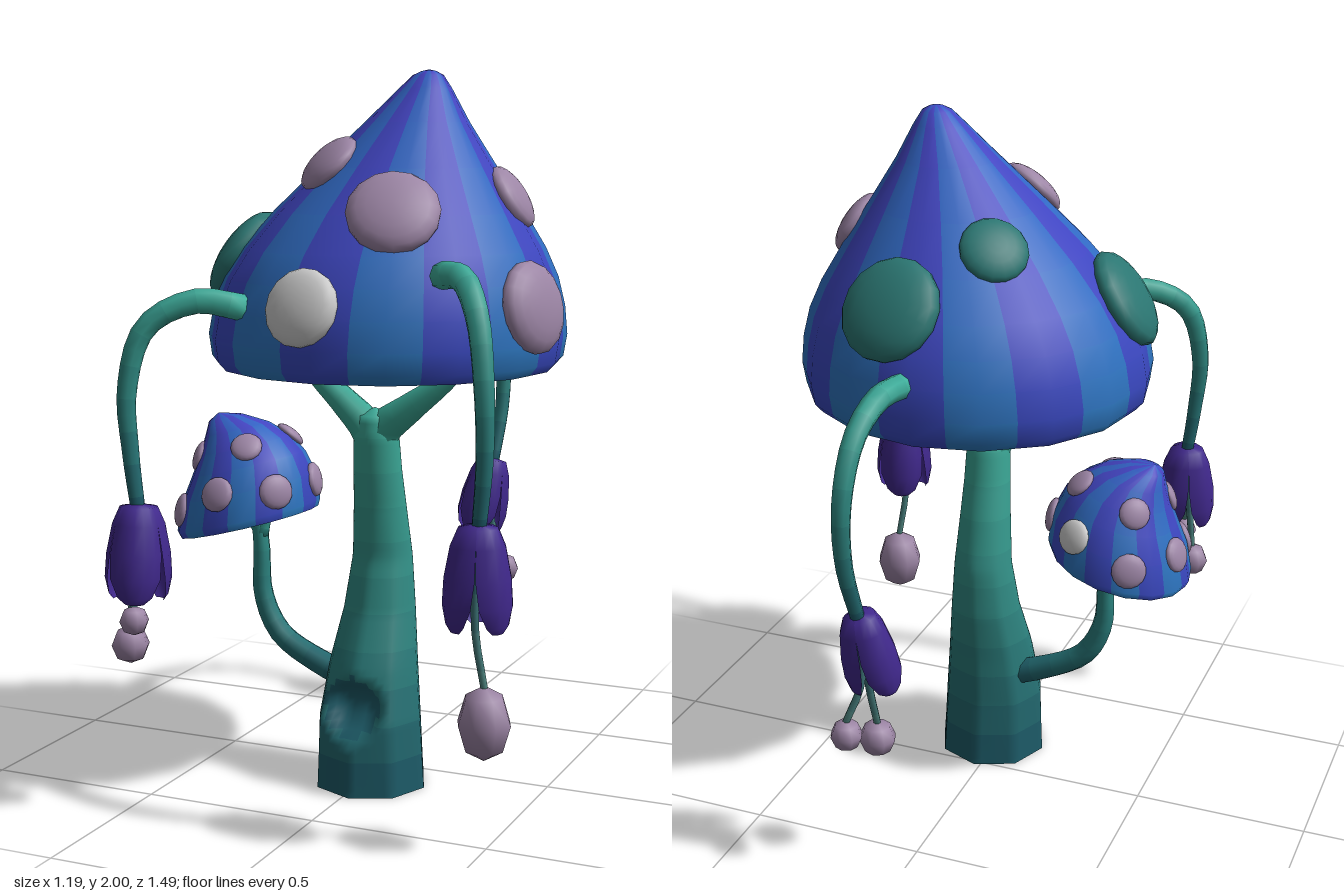
import * as THREE from 'three';

const V = (x, y, z) => new THREE.Vector3(x, y, z);
const mat = (color) => new THREE.MeshStandardMaterial({ color, side: THREE.DoubleSide });
const mix = (a, b, t) => new THREE.Color(a).lerp(new THREE.Color(b), t).getHex();
const PINK = 0x9d86a6, WHITE = 0xbdbdbd, GREEN = 0x2b7672, DARK = 0x1d5b68, LIGHT = 0x3fb09c;

function add(parent, name, geometry, color) {
  const mesh = new THREE.Mesh(geometry, mat(color));
  mesh.name = name;
  parent.add(mesh);
  return mesh;
}

// Closed skin over rows of points, smooth normals, split into one mesh per colour
function skin(parent, name, rows, colour) {
  const n = rows[0].length, faces = new Map(), all = [];
  for (let i = 0; i < rows.length - 1; i++) {
    for (let j = 0; j < n; j++) {
      const a = i * n + j, b = i * n + (j + 1) % n, c = a + n, d = b + n;
      const key = colour(i, j);
      if (!faces.has(key)) faces.set(key, []);
      faces.get(key).push(a, c, b, b, c, d);
      all.push(a, c, b, b, c, d);
    }
  }
  const whole = new THREE.BufferGeometry().setFromPoints(rows.flat());
  whole.setIndex(all);
  whole.computeVertexNormals();
  const group = new THREE.Group();
  group.name = name;
  for (const [color, index] of faces) {
    const part = whole.clone();
    part.setIndex(index);
    add(group, name + 'Section', part.toNonIndexed(), color);
  }
  parent.add(group);
}

// Tapered tube whose colour runs from c0 to c1
function taper(parent, name, points, r0, r1, c0, c1, steps = 18) {
  const curve = new THREE.CatmullRomCurve3(points);
  const { normals, binormals } = curve.computeFrenetFrames(steps);
  const rows = [];
  for (let i = 0; i <= steps; i++) {
    const p = curve.getPointAt(i / steps), r = r0 + (r1 - r0) * i / steps, row = [];
    for (let j = 0; j < 8; j++) {
      const a = j * Math.PI / 4;
      row.push(p.clone().addScaledVector(normals[i], r * Math.cos(a))
        .addScaledVector(binormals[i], -r * Math.sin(a)));
    }
    rows.push(row);
  }
  rows.unshift(rows[0].map(() => points[0].clone()));
  rows.push(rows[0].map(() => points[points.length - 1].clone()));
  skin(parent, name, rows, (i) => mix(c0, c1, Math.floor(i / 2) * 2 / steps));
}

// Point at height y and angle a on a stack of rings [y, radius, centreX, centreZ]
function ringPoint(rings, y, a, scale = 1) {
  let k = 0;
  while (k < rings.length - 2 && y > rings[k + 1][0]) k++;
  const [p, q] = [rings[k], rings[k + 1]];
  const t = (y - p[0]) / (q[0] - p[0]);
  const [r, cx, cz] = [1, 2, 3].map((m) => p[m] + (q[m] - p[m]) * t);
  return V(cx + r * scale * Math.cos(a), y, cz + r * scale * Math.sin(a));
}

// Striped hollow cap with sixteen sides, each split in the middle for the stripes
function cap(parent, name, rings) {
  const rows = rings.map(([y]) => Array.from({ length: 32 },
    (_, j) => ringPoint(rings, y, j * Math.PI / 16, j % 2 ? Math.cos(Math.PI / 16) : 1)));
  skin(parent, name, rows, (i, j) => {
    const t = i / (rings.length - 1);
    return j % 4 === 1 || j % 4 === 2 ? mix(0x2c78bd, 0x3557c8, t) : mix(0x3648bd, 0x4842c4, t);
  });
}

// Raised round spot lying on a cap, open underneath, its rim sunk through the skin
function spot(parent, rings, y, a, r, color) {
  const p = ringPoint(rings, y, a, 0.985), e = 0.03;
  const up = ringPoint(rings, y + e, a).sub(ringPoint(rings, y - e, a));
  const side = ringPoint(rings, y, a + e).sub(ringPoint(rings, y, a - e));
  const s = add(parent, 'spot', new THREE.SphereGeometry(1, 16, 7, 0, Math.PI * 2, 0, Math.PI * 0.65), color);
  s.position.copy(p);
  s.scale.set(r, r * 0.4, r);
  s.quaternion.setFromUnitVectors(V(0, 1, 0), up.cross(side).normalize());
}

// Hanging bell of three broad petals, top at the origin
function bell(parent, pos, { length, width, tilt, turn }) {
  const group = new THREE.Group();
  group.name = 'flower';
  const profile = [[0, 0.008, 1], [0.03, 0.05, 1], [0.2, 0.069, 1], [0.5, 0.084, 0.98],
    [0.75, 0.088, 0.88], [0.93, 0.08, 0.62], [1, 0.07, 0.35]];
  for (let k = 0; k < 3; k++) {
    const g = new THREE.PlaneGeometry(2, 1, 6, profile.length - 1), at = g.attributes.position;
    for (let i = 0; i < at.count; i++) {
      const u = at.getX(i), [t, r, w] = profile[Math.floor(i / 7)];
      const a = u * w * Math.PI / 3, rr = r * width * (1.04 - 0.1 * u * u);
      at.setXYZ(i, rr * Math.sin(a), -t * length, rr * Math.cos(a));
    }
    g.computeVertexNormals();
    add(group, 'petal', g, 0x40288c).rotation.y = turn + k * Math.PI * 2 / 3;
  }
  group.position.copy(pos);
  group.rotation.set(tilt[0], 0, tilt[1]);
  parent.add(group);
}

export function createModel() {
  const model = new THREE.Group();
  model.name = 'mushroom';

  // Open trunk, eight-sided at the foot, with a round hollow pressed into its front
  const trunk = [[0, 0.163, 0.018, 0.146], [0.2, 0.152, 0.016, 0.147], [0.35, 0.131, 0.018, 0.126],
    [0.5, 0.105, 0.022, 0.092], [0.65, 0.086, 0.025, 0.078], [0.8, 0.074, 0.026, 0.1],
    [0.9, 0.068, 0.028, 0.12], [1, 0.064, 0.03, 0.135], [1.06, 0.05, 0.03, 0.142], [1.08, 0.002, 0.03, 0.144]];
  const hollow = (p) => Math.hypot(p.x - 0.012, p.y - 0.237) / 0.088;
  const rows = [];
  for (let i = 0; i <= 54; i++) {
    const y = 1.08 * i / 54;
    rows.push(Array.from({ length: 48 }, (_, j) => {
      const flat = Math.cos(Math.PI / 8) / Math.cos((j % 6 - 3) * Math.PI / 24);
      const p = ringPoint(trunk, y, j * Math.PI / 24, 1 + (flat - 1) * Math.max(0, 1 - y / 0.8));
      if (p.z > 0.14 && hollow(p) < 1) p.z -= 0.07 * (1 - hollow(p) ** 2.5);
      return p;
    }));
  }
  skin(model, 'trunk', rows, (i, j) => {
    const p = rows[i][j];
    return p.z > 0.14 && hollow(p) < 0.95 ? DARK : mix(DARK, LIGHT, Math.floor(i / 5) / 11);
  });

  // Forked arms under the cap
  taper(model, 'forkRight', [V(0.029, 0.92, 0.123), V(0.012, 1.01, 0.138), V(-0.06, 1.09, 0.147),
    V(-0.16, 1.18, 0.15), V(-0.22, 1.26, 0.15)], 0.063, 0.018, 0x38a492, LIGHT, 14);
  taper(model, 'forkLeft', [V(0.029, 0.92, 0.123), V(0.046, 1.01, 0.138), V(0.13, 1.08, 0.147),
    V(0.25, 1.17, 0.15), V(0.34, 1.26, 0.15)], 0.063, 0.012, 0x38a492, LIGHT, 14);

  // Large cap and its spots
  const big = [[1.195, 0.468, 0.04, 0.08], [1.22, 0.49, 0.04, 0.08], [1.28, 0.499, 0.041, 0.08],
    [1.36, 0.488, 0.045, 0.08], [1.44, 0.463, 0.051, 0.08], [1.52, 0.419, 0.06, 0.08],
    [1.62, 0.345, 0.075, 0.08], [1.74, 0.245, 0.1, 0.08], [1.86, 0.143, 0.128, 0.08],
    [1.95, 0.072, 0.152, 0.08], [1.985, 0.042, 0.16, 0.08], [1.996, 0.02, 0.162, 0.08], [2, 0.001, 0.163, 0.08]];
  cap(model, 'largeCap', big);
  const spots = [[-0.1, 1.75, 0.25, 0.095, PINK], [0.18, 1.63, 0.41, 0.125, PINK], [0.015, 1.39, 0.55, 0.105, WHITE],
    [-0.35, 1.49, 0.15, 0.145, GREEN], [-0.1, 1.68, -0.12, 0.095, GREEN], [0.13, 1.54, -0.31, 0.145, GREEN],
    [0.4, 1.66, 0.03, 0.095, PINK], [0.53, 1.38, 0.2, 0.125, PINK]];
  for (const [x, y, z, r, c] of spots) spot(model, big, y, Math.atan2(z - 0.08, x - 0.06), r, c);

  // Small leaning mushroom on a side stalk
  taper(model, 'sideStalk', [V(-0.03, 0.27, 0.1), V(-0.16, 0.315, 0.1), V(-0.29, 0.39, 0.1), V(-0.345, 0.5, 0.1),
    V(-0.35, 0.64, 0.1), V(-0.36, 0.74, 0.1)], 0.042, 0.022, DARK, 0x2f8d86);
  for (const s of [-1, 1]) {
    taper(model, 'sideFork', [V(-0.35, 0.68, 0.1), V(-0.36 + s * 0.03, 0.74, 0.1), V(-0.37 + s * 0.08, 0.8, 0.1)],
      0.022, 0.008, 0x2f8d86, LIGHT, 6);
  }
  const small = new THREE.Group();
  small.name = 'smallMushroomTop';
  small.position.set(-0.387, 0.715, 0.105);
  small.rotation.z = 0.25;
  model.add(small);
  const little = [[0, 0.206, 0, 0], [0.02, 0.214, 0.003, 0], [0.1, 0.2, 0.026, 0], [0.166, 0.169, 0.042, 0],
    [0.22, 0.136, 0.045, 0], [0.27, 0.096, 0.032, 0], [0.31, 0.05, 0.003, 0], [0.328, 0.001, -0.015, 0]];
  cap(small, 'smallCap', little);
  for (let k = 0; k < 7; k++) {
    spot(small, little, k % 2 ? 0.11 : 0.08, 0.68 + k * Math.PI * 2 / 7, 0.05, k === 5 ? WHITE : PINK);
  }
  for (let k = 0; k < 4; k++) spot(small, little, 0.22, 1.05 + k * Math.PI / 2, 0.045, PINK);

  // Hanging vines, each with a bell flower and berries [x, y, z, radius, height stretch]
  const vines = [
    { path: [V(-0.2, 1.375, 0.47), V(-0.31, 1.395, 0.54), V(-0.42, 1.33, 0.61), V(-0.46, 1.17, 0.645),
      V(-0.45, 1, 0.65), V(-0.43, 0.84, 0.65)], flower: { length: 0.26, width: 1, tilt: [-0.05, 0], turn: 0.4 },
    berries: [[-0.46, 0.48, 0.655, 0.052, 1], [-0.42, 0.56, 0.7, 0.04, 1]] },
    { path: [V(0.34, 1.475, 0.43), V(0.42, 1.475, 0.49), V(0.48, 1.39, 0.545), V(0.515, 1.22, 0.585),
      V(0.52, 1.04, 0.59), V(0.5, 0.85, 0.575)], flower: { length: 0.27, width: 1, tilt: [0, 0], turn: -Math.PI / 4 },
    berries: [[0.51, 0.355, 0.55, 0.072, 1.38]] },
    { path: [V(0.07, 1.36, -0.37), V(0.08, 1.37, -0.52), V(0.09, 1.31, -0.64), V(0.095, 1.17, -0.712),
      V(0.1, 0.99, -0.705), V(0.09, 0.79, -0.645)], flower: { length: 0.235, width: 0.88, tilt: [-0.16, -0.15], turn: 0.1 },
    berries: [[0.08, 0.4, -0.57, 0.052, 1], [0.125, 0.455, -0.67, 0.045, 1]] },
  ];
  for (const { path, flower, berries } of vines) {
    taper(model, 'vine', path, 0.036, 0.019, LIGHT, DARK);
    const top = path[path.length - 1];
    bell(model, top.clone().add(V(0, 0.025, 0)), flower);
    for (const [x, y, z, r, stretch] of berries) {
      const tip = V(x, y + r * stretch * 0.9, z);
      const mid = top.clone().lerp(tip, 0.6).add(V((top.x - x) * 0.4 - 0.012, 0, (top.z - z) * 0.3));
      taper(model, 'filament', [top, mid, tip], 0.012, 0.01, DARK, 0x4f8580, 8);
      const berry = add(model, 'berry', new THREE.SphereGeometry(r, 8, 4), PINK);
      berry.scale.y = stretch;
      berry.position.set(x, y, z);
    }
  }
  return model;
}
